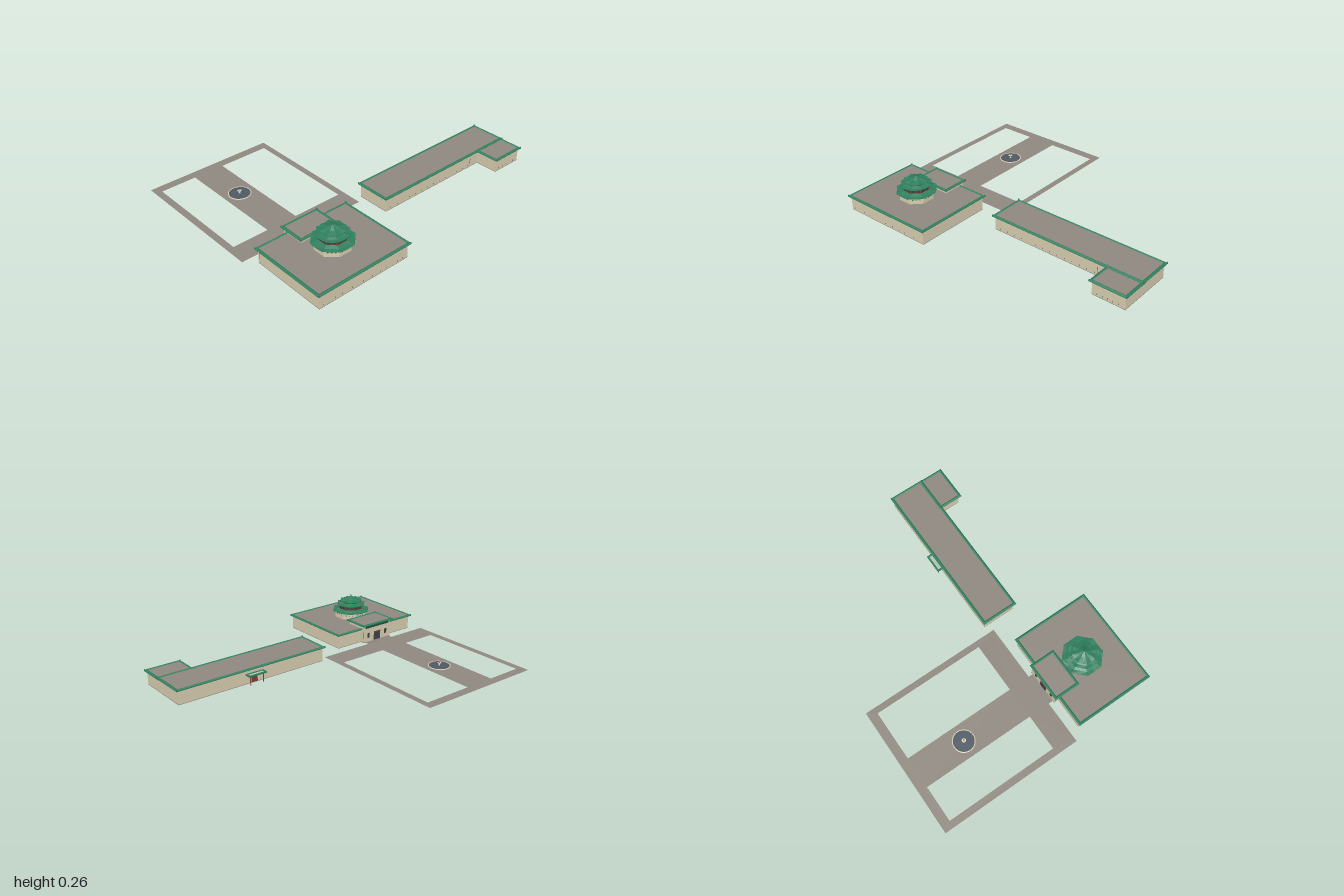
import * as THREE from 'three';

const mat = (name, color) => {
  const m = new THREE.MeshStandardMaterial({ color, side: THREE.DoubleSide });
  m.name = name;
  return m;
};

export function createModel() {
  const root = new THREE.Group();
  root.name = 'templeComplex';
  const M = {
    stone: mat('paving grey', 0x8f8880),
    cream: mat('cream wall', 0xd8cdb0),
    green: mat('glazed tile green', 0x2f7f5e),
    dark: mat('dark green trim', 0x1f5542),
    brown: mat('red brown timber', 0x7a4230),
    pane: mat('dark window', 0x3a4349),
    water: mat('slate blue water', 0x4d5965),
    pale: mat('pale canopy', 0xb4c2b2),
    bronze: mat('bronze', 0xa88f5c),
  };

  const add = (name, geo, m, parent, x = 0, y = 0, z = 0) => {
    const mesh = new THREE.Mesh(geo, m);
    mesh.name = name;
    mesh.position.set(x, y, z);
    parent.add(mesh);
    return mesh;
  };
  const group = (name) => {
    const g = new THREE.Group();
    g.name = name;
    root.add(g);
    return g;
  };
  // Box given by its limits on each axis
  const box = (name, m, parent, x0, x1, y0, y1, z0, z1) =>
    add(name, new THREE.BoxGeometry(x1 - x0, y1 - y0, z1 - z0), m, parent,
      (x0 + x1) / 2, (y0 + y1) / 2, (z0 + z1) / 2);

  // Skin over closed rings of points, counter-clockwise from above
  const loft = (rings) => {
    const pos = [];
    for (let i = 0; i + 1 < rings.length; i++) {
      const a = rings[i], b = rings[i + 1], n = a.length;
      for (let j = 0; j < n; j++) {
        const k = (j + 1) % n;
        pos.push(...a[j], ...a[k], ...b[k], ...a[j], ...b[k], ...b[j]);
      }
    }
    const g = new THREE.BufferGeometry();
    g.setAttribute('position', new THREE.Float32BufferAttribute(pos, 3));
    g.computeVertexNormals();
    return g;
  };
  const rectRing = ([x0, x1, z0, z1], inset, y) => [
    [x0 + inset, y, z1 - inset], [x1 - inset, y, z1 - inset],
    [x1 - inset, y, z0 + inset], [x0 + inset, y, z0 + inset]];
  // Octagon with side midpoints, its corners lifted
  const octRing = (apothem, y, lift = 0) => Array.from({ length: 16 }, (_, i) => {
    const t = (i * Math.PI) / 8, corner = i % 2 === 1;
    const r = corner ? apothem / Math.cos(Math.PI / 8) : apothem;
    return [r * Math.cos(t), corner ? y + lift : y, -r * Math.sin(t)];
  });
  const octPlan = (apothem, x0 = 0, z0 = 0) =>
    octRing(apothem, 0).filter((_, i) => i % 2).map(([x, , z]) => [x + x0, z + z0]);

  // Flat plan extruded upwards; outlines are lists of [x, z]
  const plan = (outline, holes, h) => {
    const pts = (o) => o.map(([x, z]) => new THREE.Vector2(x, -z));
    const s = new THREE.Shape(pts(outline));
    holes.forEach((o) => s.holes.push(new THREE.Path(pts(o))));
    const g = h ? new THREE.ExtrudeGeometry(s, { depth: h, bevelEnabled: false }) : new THREE.ShapeGeometry(s);
    return g.rotateX(-Math.PI / 2);
  };
  const rect = (r, inset = 0) => rectRing(r, inset, 0).map(([x, , z]) => [x, z]);

  // Small ridged tile roof running round a flat deck
  const eave = (parent, r, y) => {
    const profile = [[0.016, -0.009], [0.001, -0.008], [0, -0.004], [0.01, 0.004], [0.018, -0.001]];
    add('eaveTiles', loft(profile.map(([i, dy]) => rectRing(r, i, y + dy))), M.green, parent);
    rect(r, 0.004).forEach(([x, z]) =>
      add('cornerTile', new THREE.BoxGeometry(0.006, 0.007, 0.006), M.green, parent, x, y, z));
  };
  // Hollow block: wall loop, plinth, roof deck and eave
  const block = (parent, r, y, deckHoles = []) => {
    const w = 0.015;
    add('walls', plan(rect(r, w), [rect(r, w + 0.006)], y - 0.008), M.cream, parent);
    add('plinth', plan(rect(r, w - 0.001), [rect(r, w + 0.006)], 0.003), M.stone, parent);
    add('roofDeck', plan(rect(r, 0.0155), deckHoles, 0.006), M.stone, parent, 0, y - 0.007, 0);
    eave(parent, r, y);
  };

  // Paved court with two open lawns
  add('courtPaving', plan(rect([-0.782, 0.188, 0.122, 0.999]),
    [rect([-0.722, 0.042, 0.163, 0.503]), rect([-0.722, 0.042, 0.713, 0.954])], 0), M.stone, group('court'), 0, 0.001, 0);

  // Fountain
  const fountain = group('fountain');
  fountain.position.set(-0.381, 0, 0.608);
  add('basinRim', new THREE.LatheGeometry([[0.073, 0.0015], [0.073, 0.005], [0.067, 0.005], [0.067, 0.003]]
    .map(([x, y]) => new THREE.Vector2(x, y)), 32), M.cream, fountain);
  add('water', new THREE.CircleGeometry(0.067, 32).rotateX(-Math.PI / 2), M.water, fountain, 0, 0.004, 0);
  add('fountainStem', new THREE.CylinderGeometry(0.003, 0.006, 0.022, 10), M.cream, fountain, 0, 0.015, 0);
  add('fountainBowl', new THREE.CylinderGeometry(0.014, 0.007, 0.004, 12), M.cream, fountain, 0, 0.02, 0);
  add('fountainTip', new THREE.SphereGeometry(0.005, 10, 8), M.bronze, fountain, 0, 0.026, 0);

  // Main hall with rooms inside and an opening under the pagoda
  const hall = group('mainHall');
  const hallRect = [0.236, 0.782, 0.275, 0.946], cx = 0.506, cz = 0.609;
  const octHole = octPlan(0.098, cx, cz);
  block(hall, hallRect, 0.1, [octHole]);
  add('ceiling', plan(rect(hallRect, 0.021), [octHole], 0.002), M.cream, hall, 0, 0.088, 0);
  for (const z of [0.47, 0.74]) box('partition', M.cream, hall, 0.257, 0.761, 0.01, 0.089, z - 0.002, z + 0.002);
  for (const x of [0.385, 0.625]) {
    box('partition', M.cream, hall, x - 0.002, x + 0.002, 0.01, 0.089, 0.296, 0.468);
    box('partition', M.cream, hall, x - 0.002, x + 0.002, 0.01, 0.089, 0.742, 0.925);
  }
  // Small openings low on an outer wall facing +x
  const slits = (parent, x, positions) => positions.forEach((z) =>
    box('slitWindow', M.pane, parent, x - 0.001, x + 0.0006, 0.012, 0.02, z - 0.0015, z + 0.0015));
  slits(hall, 0.767, [0.33, 0.37, 0.45, 0.5, 0.56, 0.62, 0.7, 0.77, 0.82, 0.9]);
  for (let i = 0; i < 4; i++)
    box('frontWindow', M.pane, hall, 0.258, 0.261, 0.028 + i * 0.013, 0.034 + i * 0.013, 0.93, 0.9316);

  // Entrance pavilion with steps
  const entrance = group('entrance');
  block(entrance, [0.205, 0.387, 0.472, 0.74], 0.129);
  box('doorFrame', M.brown, entrance, 0.218, 0.221, 0.004, 0.065, 0.578, 0.636);
  box('doorOpening', M.pane, entrance, 0.217, 0.2185, 0.004, 0.058, 0.585, 0.629);
  for (const z of [0.53, 0.684]) {
    box('entranceWindow', M.pane, entrance, 0.2185, 0.221, 0.03, 0.06, z - 0.009, z + 0.009);
    box('windowLintel', M.dark, entrance, 0.218, 0.221, 0.06, 0.064, z - 0.012, z + 0.012);
  }
  box('entranceFrieze', M.dark, entrance, 0.218, 0.221, 0.1, 0.115, 0.5, 0.712);
  for (const z of [0.487, 0.725])
    for (let i = 0; i < 4; i++)
      box('sideWindow', M.pane, entrance, 0.225, 0.229, 0.028 + i * 0.014, 0.036 + i * 0.014, z - 0.001, z + 0.001);
  for (let i = 0; i < 2; i++)
    box('step', M.stone, entrance, 0.188 + i * 0.014, 0.222, i * 0.0015, (i + 1) * 0.0015, 0.503, 0.713);

  // Three-tiered octagonal pagoda
  const pagoda = group('pagoda');
  pagoda.position.set(cx, 0, cz);
  const drum = (name, a, y0, y1, m) => {
    const r = a / Math.cos(Math.PI / 8);
    add(name, new THREE.CylinderGeometry(r, r, y1 - y0, 8, 1, true).rotateY(Math.PI / 8).toNonIndexed(), m, pagoda, 0, (y0 + y1) / 2, 0)
      .geometry.computeVertexNormals();
  };
  const ridge = (a, b) => {
    const va = new THREE.Vector3(...a), vb = new THREE.Vector3(...b);
    const m = add('hipRidge', new THREE.CylinderGeometry(0.001, 0.0012, va.distanceTo(vb), 5), M.green, pagoda);
    m.position.copy(va).add(vb).multiplyScalar(0.5);
    m.quaternion.setFromUnitVectors(new THREE.Vector3(0, 1, 0), vb.sub(va).normalize());
  };
  // Curved roof: underside, eave edge, then slope up to the top
  const tier = (a, y, topA, topY) => {
    const lift = 0.005, mid = (a + topA) / 2, midY = y + (topY - y) * 0.42;
    const edge = octRing(a, y + 0.003, lift), middle = octRing(mid, midY, 0.001), top = octRing(topA, topY);
    add('tierTiles', loft([octRing(topA + 0.004, y - 0.003), octRing(a, y, lift), edge, middle, top]), M.green, pagoda);
    for (let i = 1; i < 16; i += 2) { ridge(edge[i], middle[i]); ridge(middle[i], top[i]); }
  };
  drum('lowerDrum', 0.104, 0.088, 0.143, M.cream);
  drum('middleDrum', 0.078, 0.136, 0.187, M.brown);
  drum('upperDrum', 0.057, 0.19, 0.212, M.brown);
  add('drumCeiling', plan(octPlan(0.104), [octPlan(0.078)], 0), M.cream, pagoda, 0, 0.136, 0);
  add('upperCeiling', plan(octPlan(0.078), [], 0), M.cream, pagoda, 0, 0.181, 0);
  tier(0.122, 0.141, 0.078, 0.159);
  tier(0.094, 0.185, 0.057, 0.2);
  tier(0.072, 0.209, 0.002, 0.243);
  add('finial', new THREE.LatheGeometry([[0.005, 0.238], [0.006, 0.242], [0.003, 0.246], [0.004, 0.249], [0, 0.256]]
    .map(([x, y]) => new THREE.Vector2(x, y)), 10), M.green, pagoda);
  // Windows on each face of the two lower drums
  for (let i = 0; i < 8; i++) {
    const face = new THREE.Group();
    face.name = 'pagodaFace';
    face.rotation.y = (i * Math.PI) / 4;
    pagoda.add(face);
    for (const x of [-0.022, 0, 0.022])
      box('drumWindow', M.green, face, x - 0.004, x + 0.004, 0.124, 0.129, 0.1025, 0.105);
    for (const x of [-0.015, 0.015])
      box('lattice', M.pane, face, x - 0.01, x + 0.01, 0.163, 0.179, 0.0768, 0.079);
  }

  // Long hall, its annex and slit windows
  const wing = group('longHall');
  block(wing, [0.136, 0.386, -1, 0.087], 0.1);
  slits(wing, 0.371, Array.from({ length: 14 }, (_, i) => 0.03 - i * 0.054));
  for (let i = 0; i < 4; i++)
    box('sideWindow', M.pane, wing, 0.3695, 0.3716, 0.018 + i * 0.011, 0.024 + i * 0.011, -0.693, -0.689);
  const annex = group('annex');
  block(annex, [0.357, 0.54, -1, -0.75], 0.096);
  slits(annex, 0.525, Array.from({ length: 5 }, (_, i) => -0.8 - i * 0.035));

  // Side door canopy on posts
  const canopy = group('sideCanopy');
  const canopyRect = [0.107, 0.152, -0.522, -0.393];
  add('canopyTop', plan(rect(canopyRect, 0.01), [], 0.003), M.pale, canopy, 0, 0.062, 0);
  add('canopyEdge', plan(rect(canopyRect), [rect(canopyRect, 0.011)], 0.008), M.green, canopy, 0, 0.06, 0);
  for (const z of [-0.505, -0.41])
    add('canopyPost', new THREE.CylinderGeometry(0.003, 0.003, 0.06, 8), M.brown, canopy, 0.123, 0.03, z);
  box('canopyDoor', M.brown, canopy, 0.1502, 0.152, 0.003, 0.05, -0.48, -0.435);

  return root;
}
